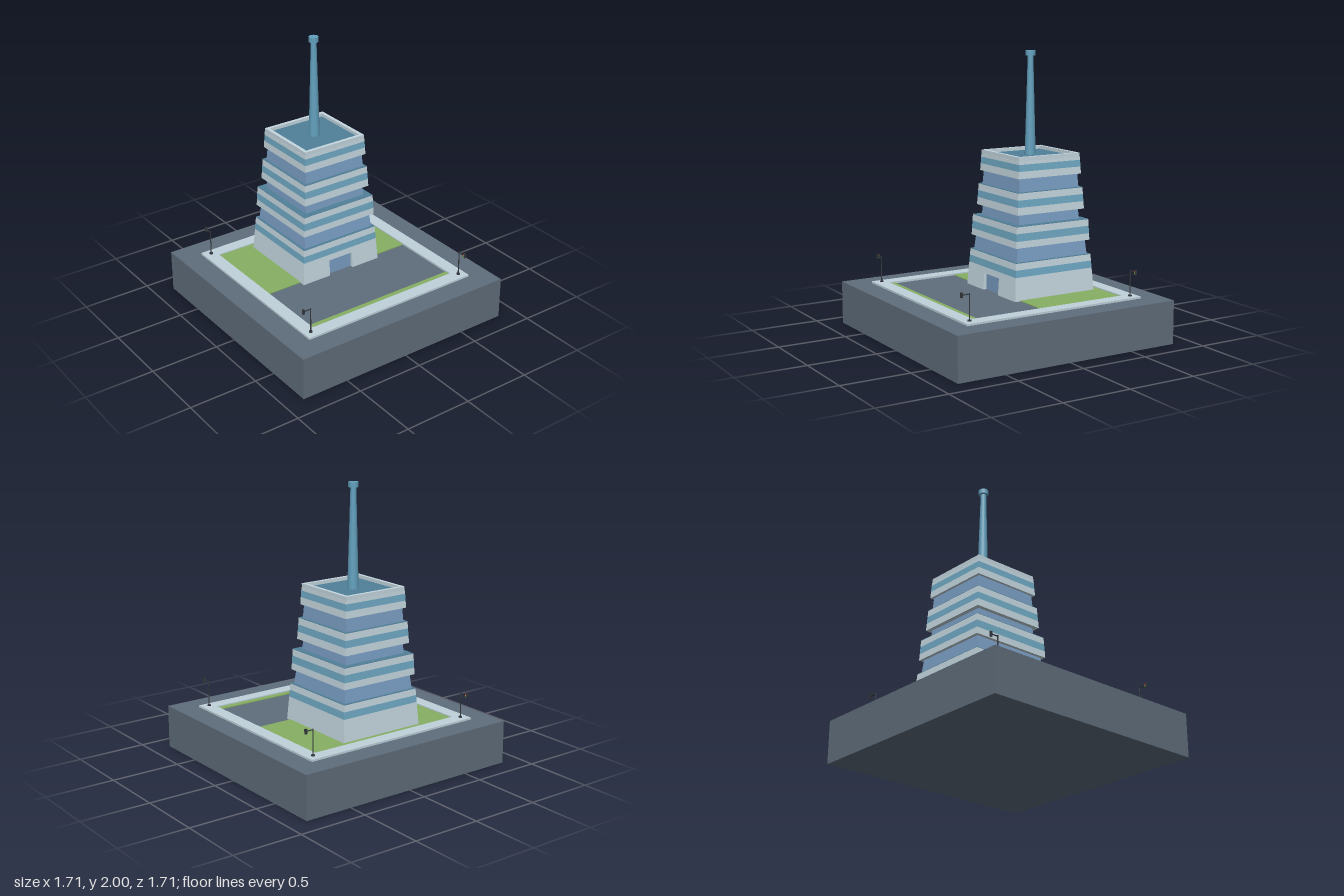
import * as THREE from 'three';

const C = {
  slate: 0x5f6d7b, paving: 0xbfd2dc, grass: 0x86af64, wall: 0xc5d7e0, stripe: 0x70aac5,
  recess: 0x7a9ec4, roof: 0x50809a, mast: 0x62a0bd, dark: 0x33383d,
  red: 0xc23b30, amber: 0xd9a02c, green: 0x3fa04a,
};
const mats = {};
for (const k in C) mats[k] = new THREE.MeshStandardMaterial({ color: C[k], flatShading: k !== 'mast' });

function add(parent, name, geo, mat, x = 0, y = 0, z = 0) {
  const m = new THREE.Mesh(geo, mats[mat]);
  m.name = name;
  m.position.set(x, y, z);
  parent.add(m);
  return m;
}

// Box given by its centre in x and z and its bottom and top heights
function block(parent, name, mat, x, z, w, d, y0, y1) {
  return add(parent, name, new THREE.BoxGeometry(w, y1 - y0, d), mat, x, (y0 + y1) / 2, z);
}

// Square tapering storey: half width h0 at y0, h1 at y1; the front can be set back
function taper(parent, name, mat, y0, y1, h0, h1, setback = 0) {
  const geo = new THREE.BoxGeometry(2, 1, 2);
  const p = geo.attributes.position;
  for (let i = 0; i < p.count; i++) {
    const top = p.getY(i) > 0, h = top ? h1 : h0, z = p.getZ(i);
    p.setXYZ(i, p.getX(i) * h, top ? y1 : y0, z > 0 ? h - setback : -h);
  }
  geo.computeVertexNormals();
  return add(parent, name, geo, mat);
}

function square(h, PathType = THREE.Shape) {
  return new PathType([[-h, -h], [h, -h], [h, h], [-h, h]].map(([x, y]) => new THREE.Vector2(x, y)));
}

// Flat square frame lying on y0
function frame(parent, name, mat, outer, inner, y0, y1) {
  const shape = square(outer);
  shape.holes.push(square(inner, THREE.Path));
  const geo = new THREE.ExtrudeGeometry(shape, { depth: y1 - y0, bevelEnabled: false });
  geo.rotateX(-Math.PI / 2);
  return add(parent, name, geo, mat, 0, y0, 0);
}

// Sloping front wall with a doorway cut out of its bottom edge
function entranceWall(parent, y0, y1, h0, h1, depth) {
  const doorTop = 0.43, doorHalf = 0.1;
  const shape = new THREE.Shape([
    [-h0, y0], [-doorHalf, y0], [-doorHalf, doorTop], [doorHalf, doorTop],
    [doorHalf, y0], [h0, y0], [h1, y1], [-h1, y1],
  ].map(([x, y]) => new THREE.Vector2(x, y)));
  const geo = new THREE.ExtrudeGeometry(shape, { depth, bevelEnabled: false });
  const p = geo.attributes.position;
  for (let i = 0; i < p.count; i++) {
    const t = (p.getY(i) - y0) / (y1 - y0);
    p.setZ(i, p.getZ(i) - depth + h0 + (h1 - h0) * t);
  }
  geo.computeVertexNormals();
  add(parent, 'entranceWall', geo, 'wall');
  block(parent, 'door', 'recess', 0, h0 - depth, 2 * doorHalf, 0.03, y0, doorTop);
}

function buildTower() {
  const tower = new THREE.Group();
  tower.name = 'tower';
  tower.position.z = -0.225;

  // Light storeys with a glazed stripe: bottom, stripe bottom, stripe top, top, half widths
  const tiers = [
    [0.31, 0.475, 0.525, 0.572, 0.328, 0.31],
    [0.675, 0.722, 0.775, 0.822, 0.304, 0.297],
    [0.897, 0.95, 1.0, 1.048, 0.275, 0.266],
    [1.145, 1.195, 1.242, 1.293, 0.258, 0.25],
  ];
  tiers.forEach(([y0, s0, s1, y1, h0, h1], i) => {
    const h = (y) => h0 + (h1 - h0) * (y - y0) / (y1 - y0);
    const last = i === tiers.length - 1;
    const top = last ? 1.265 : y1;
    if (i === 0) entranceWall(tower, y0, s0, h0, h(s0), 0.04);
    taper(tower, 'lowerWall', 'wall', y0, s0, h0, h(s0), i === 0 ? 0.04 : 0);
    taper(tower, 'windowStripe', 'stripe', s0, s1, h(s0), h(s1));
    taper(tower, 'upperWall', 'wall', s1, top, h(s1), h(top));
    if (last) {
      frame(tower, 'parapet', 'wall', h1, 0.225, top, y1);
      block(tower, 'roofDeck', 'roof', 0, 0, 0.45, 0.45, top - 0.01, top + 0.004);
    } else {
      block(tower, 'ledge', 'roof', 0, 0, 2 * h1, 2 * h1, y1, y1 + 0.003);
    }
  });

  // Set-back glazed storeys between the light ones
  [[0.572, 0.675, 0.291, 0.28], [0.822, 0.897, 0.25, 0.244], [1.048, 1.145, 0.246, 0.239]]
    .forEach(([y0, y1, h0, h1]) => taper(tower, 'recessedStorey', 'recess', y0, y1, h0, h1));

  // Mast
  add(tower, 'mast', new THREE.CylinderGeometry(0.02, 0.039, 0.7, 20), 'mast', 0, 1.616, 0);
  add(tower, 'mastCap', new THREE.CylinderGeometry(0.035, 0.035, 0.035, 20), 'mast', 0, 1.9825, 0);
  return tower;
}

// Signal post at the back right corner, arm pointing outwards along +x
function buildSignal() {
  const signal = new THREE.Group();
  signal.name = 'trafficSignal';
  const x = 0.643, z = -0.637;
  add(signal, 'postFoot', new THREE.CylinderGeometry(0.013, 0.013, 0.008, 12), 'dark', x, 0.328, z);
  add(signal, 'post', new THREE.CylinderGeometry(0.004, 0.004, 0.19, 8), 'dark', x, 0.415, z);
  const arm = add(signal, 'arm', new THREE.CylinderGeometry(0.004, 0.004, 0.06, 8), 'dark', x + 0.03, 0.503, z);
  arm.rotation.z = Math.PI / 2;
  block(signal, 'signalHead', 'dark', 0.7, z, 0.014, 0.014, 0.485, 0.519);
  ['green', 'amber', 'red'].forEach((c, i) => {
    const lamp = add(signal, c + 'Lamp', new THREE.CylinderGeometry(0.004, 0.004, 0.004, 10), c, 0.7, 0.492 + i * 0.01, z + 0.008);
    lamp.rotation.x = Math.PI / 2;
  });
  return signal;
}

export function createModel() {
  const model = new THREE.Group();
  model.name = 'towerOnPlot';

  // Ground
  block(model, 'groundBlock', 'slate', 0, 0, 1.71, 1.71, 0, 0.31);
  frame(model, 'pavement', 'paving', 0.693, 0.598, 0.31, 0.324);
  block(model, 'backLawn', 'grass', 0, -0.268, 1.196, 0.66, 0.305, 0.316);
  block(model, 'frontLawn', 'grass', 0, 0.575, 1.196, 0.046, 0.305, 0.316);

  model.add(buildTower());

  // Four signals, turned around the plot
  for (let i = 0; i < 4; i++) {
    const signal = buildSignal();
    signal.rotation.y = i * Math.PI / 2;
    model.add(signal);
  }
  return model;
}
